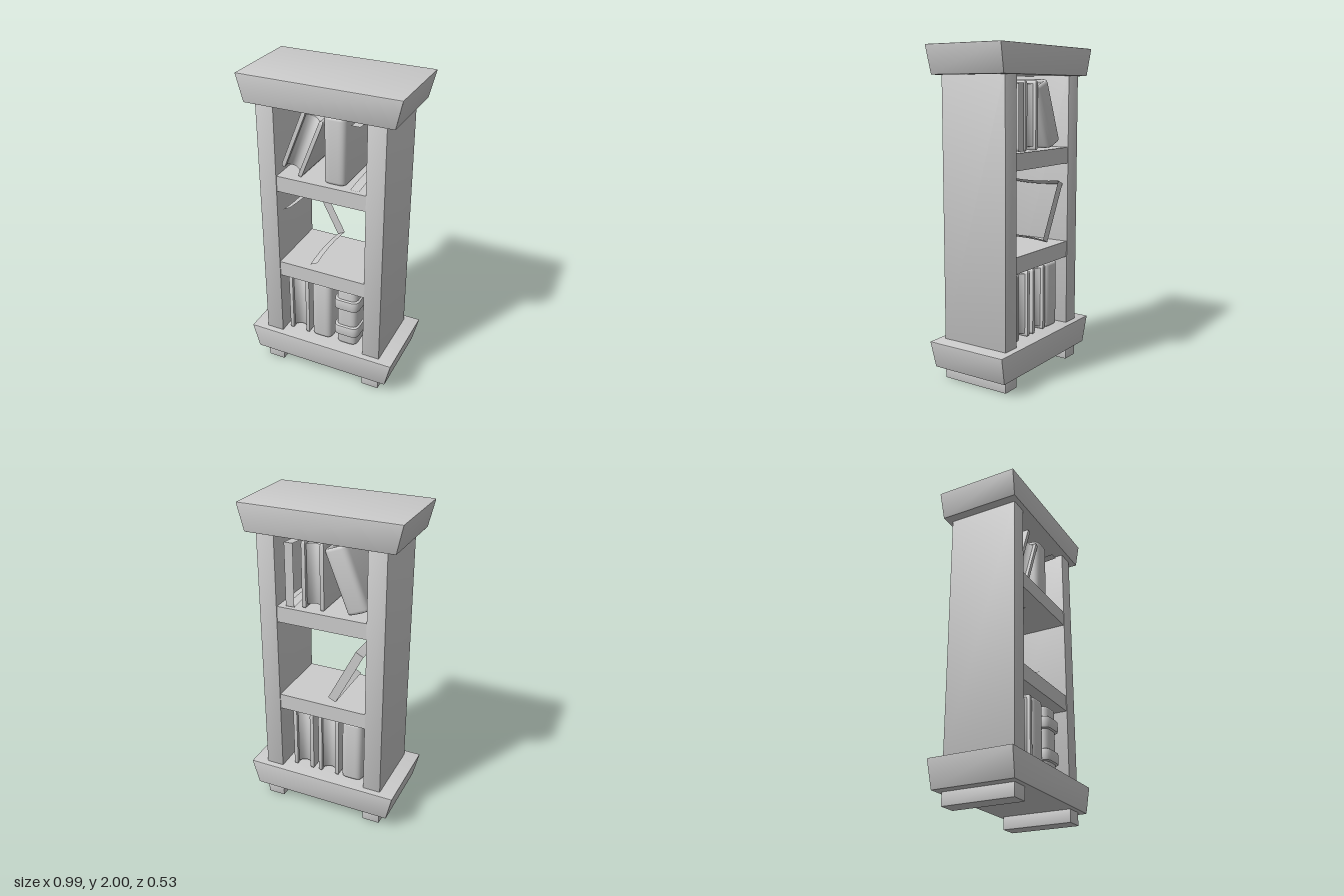
import * as THREE from 'three';
import { toCreasedNormals } from 'three/addons/utils/BufferGeometryUtils.js';
import { RoundedBoxGeometry } from 'three/addons/geometries/RoundedBoxGeometry.js';

const grey = new THREE.MeshStandardMaterial({ color: 0xcccccc });
const sheet = new THREE.MeshStandardMaterial({ color: 0xcccccc, side: THREE.DoubleSide });

function add(parent, name, geometry, x = 0, y = 0, z = 0, material = grey) {
  const mesh = new THREE.Mesh(geometry, material);
  mesh.name = name;
  mesh.position.set(x, y, z);
  parent.add(mesh);
  return mesh;
}

// Softly edged board; the bottom can be narrower than the top.
function board(w, h, d, taperX = 1, taperZ = 1) {
  const g = new RoundedBoxGeometry(w, h, d, 1, 0.006);
  const p = g.attributes.position;
  for (let i = 0; i < p.count; i++) {
    const t = 0.5 - p.getY(i) / h;
    p.setX(i, p.getX(i) * (1 + (taperX - 1) * t));
    p.setZ(i, p.getZ(i) * (1 + (taperZ - 1) * t));
  }
  return toCreasedNormals(g, 0.5);
}

// Extrude a plan outline upwards, centred in y; outline -y becomes +z.
function upright(shape, height, bevel, thickness) {
  const g = new THREE.ExtrudeGeometry(shape, {
    depth: height - 2 * thickness, curveSegments: 8,
    bevelSize: bevel, bevelOffset: -bevel, bevelThickness: thickness, bevelSegments: 2,
  });
  g.translate(0, 0, -(height / 2 - thickness));
  g.rotateX(-Math.PI / 2);
  return toCreasedNormals(g, 0.7);
}

// U-shaped plan: rounded spine at +z, open towards -z.
function wrapShape(w, back, front, wall, r) {
  const a = w / 2, b = a - wall, q = r * 0.6;
  const s = new THREE.Shape();
  s.moveTo(-a, -back);
  s.lineTo(-a, -front + r);
  s.quadraticCurveTo(-a, -front, -a + r, -front);
  s.lineTo(a - r, -front);
  s.quadraticCurveTo(a, -front, a, -front + r);
  s.lineTo(a, -back);
  s.lineTo(b, -back);
  s.lineTo(b, -front + wall + q);
  s.quadraticCurveTo(b, -front + wall, b - q, -front + wall);
  s.lineTo(-b + q, -front + wall);
  s.quadraticCurveTo(-b, -front + wall, -b, -front + wall + q);
  s.lineTo(-b, -back);
  return s;
}

// Page block with a hollow fore-edge.
function pageShape(w, back, front) {
  const a = w / 2;
  const s = new THREE.Shape();
  s.moveTo(-a, -front);
  s.lineTo(a, -front);
  s.lineTo(a, -back);
  s.quadraticCurveTo(0, -back - 0.07, -a, -back);
  return s;
}

function book(parent, name, x, y, h, { flipped = false, tilt = 0, bands = [] } = {}) {
  const g = new THREE.Group();
  g.name = name;
  add(g, 'bookCover', upright(wrapShape(0.14, -0.18, 0.18, 0.024, 0.045), h, 0.009, 0.018));
  add(g, 'pageBlock', upright(pageShape(0.1, -0.165, 0.16), h - 0.04, 0.001, 0.001));
  for (const by of bands) {
    add(g, 'spineBand', upright(wrapShape(0.17, 0.02, 0.197, 0.03, 0.05), 0.075, 0.01, 0.014), 0, by);
  }
  g.position.set(x, y, 0);
  g.rotation.set(0, flipped ? Math.PI : 0, tilt, 'ZYX');
  parent.add(g);
}

// Loose binding: a thin back strip with a strip along the top and bottom.
function looseBinding(parent, name, x, y, tilt) {
  const g = new THREE.Group();
  g.name = name;
  const w = 0.055, h = 0.39;
  add(g, 'backStrip', new THREE.PlaneGeometry(w, h), 0, 0, -0.2, sheet);
  for (const side of [-1, 1]) {
    const strip = new THREE.PlaneGeometry(w, 0.4, 1, 6).rotateX(-Math.PI / 2);
    const p = strip.attributes.position;
    // the strip bows slightly inwards along its length
    for (let i = 0; i < p.count; i++) {
      p.setY(i, -side * 0.012 * (1 - (p.getZ(i) / 0.2) ** 2));
    }
    strip.computeVertexNormals();
    add(g, side > 0 ? 'topStrip' : 'bottomStrip', strip, 0, side * h / 2, 0, sheet);
  }
  g.position.set(x, y, 0);
  g.rotation.z = tilt;
  parent.add(g);
}

export function createModel() {
  const model = new THREE.Group();
  model.name = 'bookcase';

  // Frame
  add(model, 'topSlab', board(0.99, 0.17, 0.53, 0.92, 0.965), 0, 1.915);
  add(model, 'baseSlab', board(0.99, 0.17, 0.53, 0.92, 0.965), 0, 0.165);
  for (const side of [-1, 1]) {
    add(model, 'sidePanel', board(0.115, 1.6, 0.45), side * 0.342, 1.04);
    add(model, 'foot', board(0.115, 0.09, 0.45), side * 0.342, 0.045);
  }
  for (const y of [0.74, 1.34]) {
    add(model, 'shelf', new THREE.BoxGeometry(0.575, 0.1, 0.44), 0, y);
  }

  // Bottom row
  book(model, 'reversedBook', -0.18, 0.46, 0.415, { flipped: true });
  book(model, 'plainBook', -0.025, 0.46, 0.415);
  book(model, 'bandedBook', 0.15, 0.46, 0.415, { bands: [0.103, -0.097] });

  // Middle row
  looseBinding(model, 'leaningBinding', -0.148, 1.0, 0.47);

  // Top row
  book(model, 'leaningBook', -0.135, 1.6, 0.4, { flipped: true, tilt: -0.38 });
  book(model, 'uprightBook', 0.068, 1.595, 0.41);
  looseBinding(model, 'uprightBinding', 0.207, 1.59, 0);

  return model;
}
